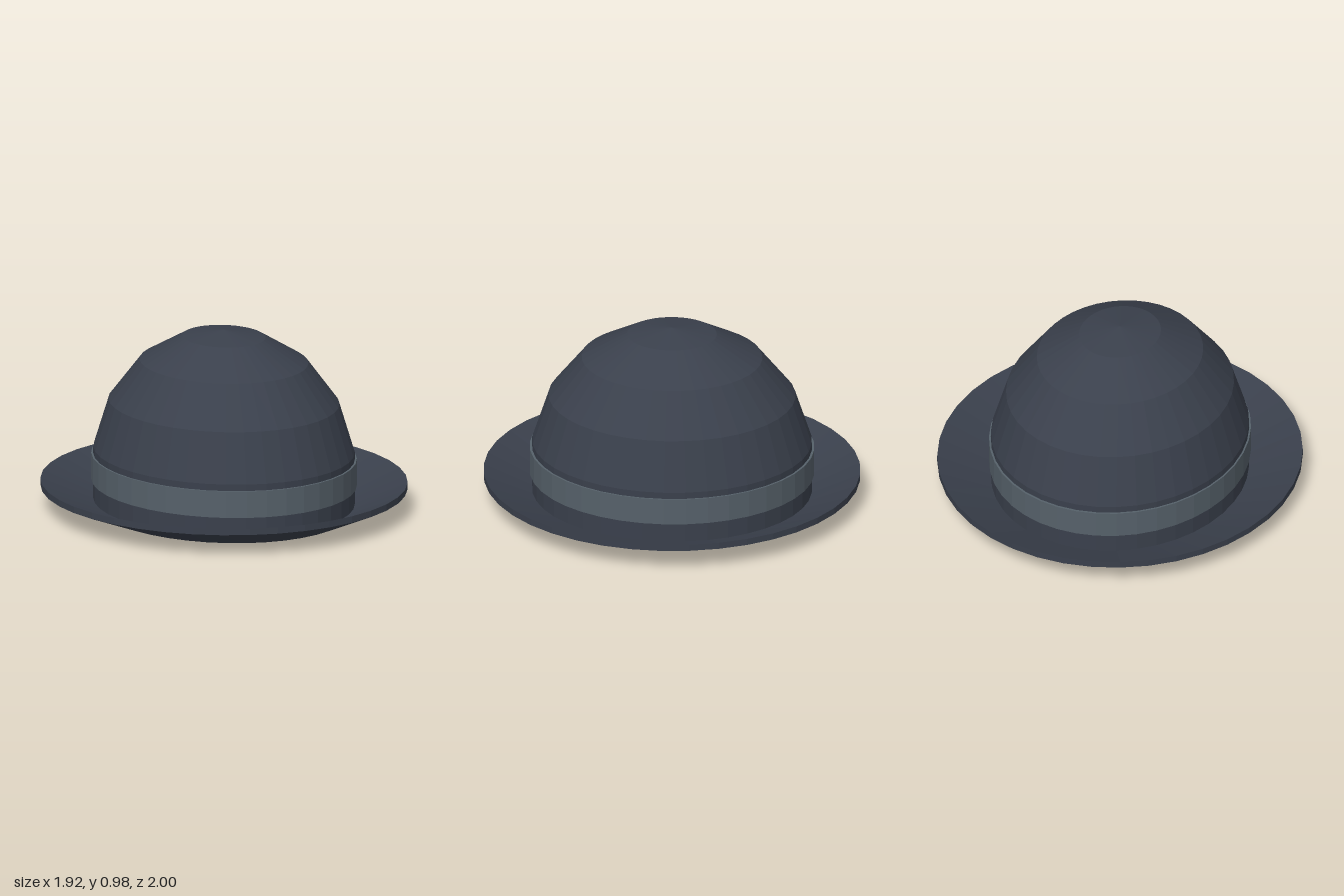
import * as THREE from 'three';

const SIDES = 40;

// Oval lathe: each profile point is [x radius, z radius, y], running bottom to top on the outside
function ovalLathe(profile) {
  const lathe = new THREE.LatheGeometry(profile.map(([rx, , y]) => new THREE.Vector2(rx, y)), SIDES);
  const pos = lathe.attributes.position;
  for (let i = 0; i < pos.count; i++) {
    const [rx, rz] = profile[i % profile.length];
    if (rx > 0) pos.setZ(i, pos.getZ(i) * rz / rx);
  }
  const geometry = lathe.toNonIndexed();
  geometry.computeVertexNormals();
  return geometry;
}

export function createModel() {
  const hat = new THREE.Group();
  hat.name = 'hat';

  const felt = new THREE.MeshStandardMaterial({ color: 0x3a404c, flatShading: true, side: THREE.DoubleSide });
  felt.name = 'dark felt';
  const ribbon = new THREE.MeshStandardMaterial({ color: 0x56616a, flatShading: true, side: THREE.DoubleSide });
  ribbon.name = 'grey ribbon';

  const addPart = (name, profile, material) => {
    const mesh = new THREE.Mesh(ovalLathe(profile), material);
    mesh.name = name;
    hat.add(mesh);
  };

  // Domed crown, open underneath
  addPart('crown', [
    [0.67, 0.743, 0.035],
    [0.67, 0.743, 0.325],
    [0.592, 0.656, 0.59],
    [0.432, 0.48, 0.81],
    [0.212, 0.238, 0.945],
    [0, 0, 0.982],
  ], felt);

  // Brim rising outwards, closed ring
  addPart('brim', [
    [0.655, 0.73, 0],
    [0.962, 1, 0.12],
    [0.962, 1, 0.155],
    [0.655, 0.73, 0.035],
    [0.655, 0.73, 0],
  ], felt);

  // Ribbon band around the crown
  addPart('band', [
    [0.671, 0.744, 0.145],
    [0.68, 0.756, 0.145],
    [0.68, 0.756, 0.29],
    [0.671, 0.744, 0.29],
  ], ribbon);

  return hat;
}
